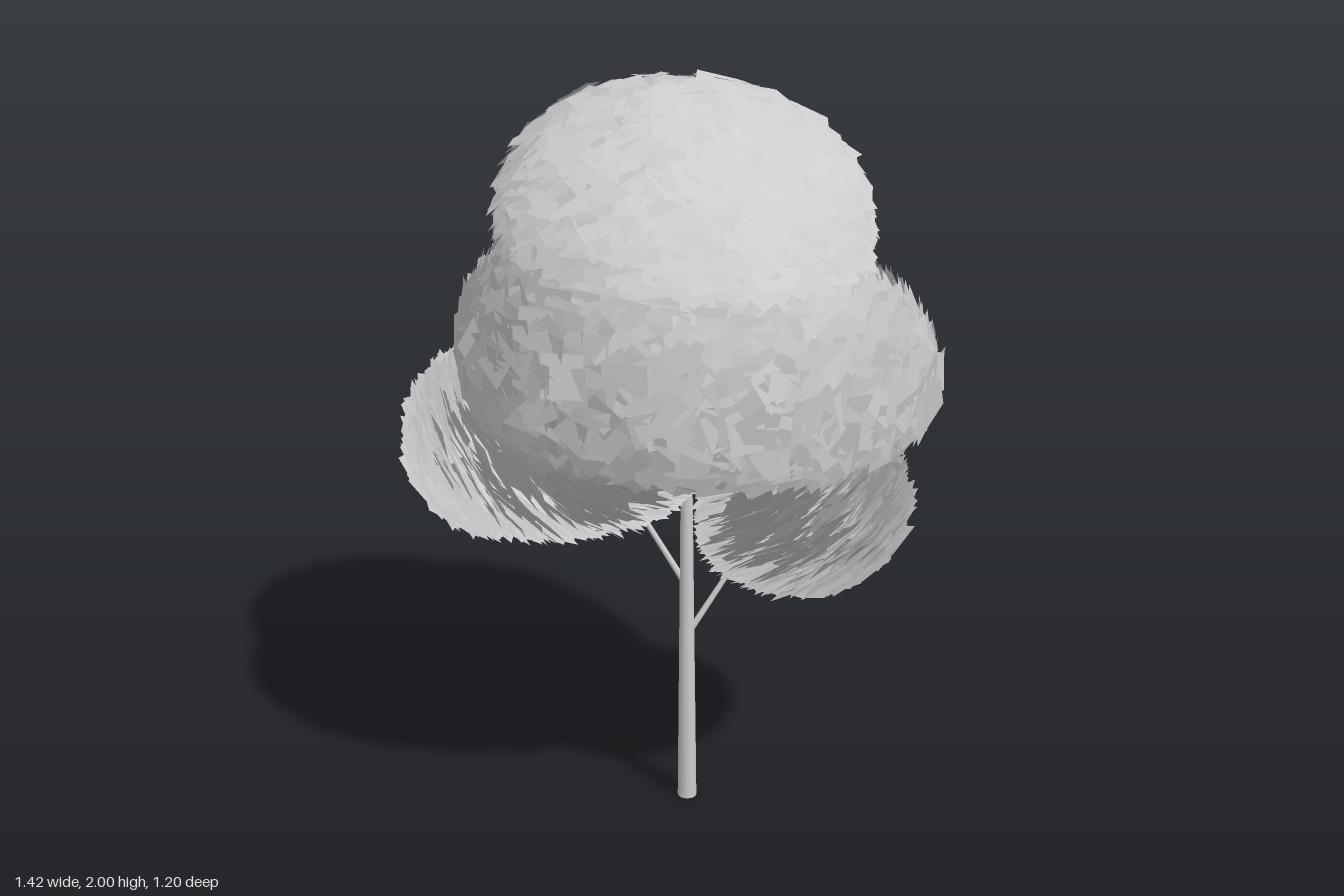
import * as THREE from 'three';

// Small seeded generator for leaf jitter
function seeded(seed) {
  return () => {
    seed = (seed * 1664525 + 1013904223) % 4294967296;
    return seed / 4294967296;
  };
}

// Every leaf card faces away from the heart of the crown
const HEART = new THREE.Vector3(0, 1.33, 0);

// Rounded clumps: c centre, rx [towards -x, towards +x], n squareness in height,
// m squareness of the +x half in plan, tilt rise along x and z
const CLUMPS = [
  { name: 'crownTop', c: [0, 1.65, 0], rx: [0.45, 0.47], ry: 0.33, rz: 0.39, n: 2.2, m: 2, tilt: [0, 0], count: 1500 },
  { name: 'crownMiddle', c: [-0.05, 1.335, 0], rx: [0.47, 0.73], ry: 0.26, rz: 0.575, n: 2.5, m: 1.7, tilt: [-0.05, 0], count: 2300 },
  { name: 'lowerRightFoliage', c: [-0.38, 1.03, 0.095], rx: [0.305, 0.46], ry: 0.225, rz: 0.345, n: 2.4, m: 2, tilt: [0.06, 0], count: 1500 },
  { name: 'lowerLeftFoliage', c: [0.305, 0.855, -0.15], rx: [0.225, 0.225], ry: 0.175, rz: 0.285, n: 2.4, m: 2, tilt: [0, 0.08], count: 900 },
];

// Shell of overlapping square leaf cards
function foliage({ name, c, rx, ry, rz, n, m, tilt, count }, seed, material) {
  const rnd = seeded(seed);
  const positions = [], index = [];
  const centre = new THREE.Vector3(...c);
  const p = new THREE.Vector3(), facing = new THREE.Vector3(), v = new THREE.Vector3();
  const align = new THREE.Quaternion(), spin = new THREE.Quaternion();
  const zAxis = new THREE.Vector3(0, 0, 1);
  for (let i = 0; i < count; i++) {
    // Even spiral of directions, pushed out to the clump's rounded shape
    const dy = 1 - 2 * (i + 0.5) / count;
    const h = Math.sqrt(1 - dy * dy);
    const cos = Math.cos(i * 2.399963), sin = Math.sin(i * 2.399963);
    const plan = cos > 0 ? Math.pow(Math.pow(cos, m) + Math.pow(Math.abs(sin), m), -1 / m) : 1;
    const k = Math.pow(Math.pow(h, n) + Math.pow(Math.abs(dy), n), -1 / n) * (0.98 + rnd() * 0.04);
    p.set(h * cos * plan * k * (cos < 0 ? rx[0] : rx[1]), dy * k * ry, h * sin * plan * k * rz);
    p.y += p.x * tilt[0] + p.z * tilt[1];
    // Face away from the heart with a little jitter, then spin the card
    facing.copy(p).add(centre).sub(HEART).normalize();
    facing.x += (rnd() - 0.5) * 0.3;
    facing.y += (rnd() - 0.5) * 0.3;
    facing.z += (rnd() - 0.5) * 0.3;
    align.setFromUnitVectors(zAxis, facing.normalize());
    align.multiply(spin.setFromAxisAngle(zAxis, rnd() * Math.PI * 2));
    const s = 0.042 + rnd() * 0.012;
    for (const [x, y] of [[-s, -s], [s, -s], [s, s], [-s, s]]) {
      v.set(x, y, 0).applyQuaternion(align).add(p);
      positions.push(v.x, v.y, v.z);
    }
    const b = i * 4;
    index.push(b, b + 1, b + 2, b, b + 2, b + 3);
  }
  const geo = new THREE.BufferGeometry();
  geo.setAttribute('position', new THREE.Float32BufferAttribute(positions, 3));
  geo.setIndex(index);
  geo.computeVertexNormals();
  const mesh = new THREE.Mesh(geo, material);
  mesh.name = name;
  mesh.position.copy(centre);
  return mesh;
}

// Tapered round limb between two points
function limb(name, from, to, r0, r1, material) {
  const a = new THREE.Vector3(...from), b = new THREE.Vector3(...to);
  const dir = b.clone().sub(a);
  const mesh = new THREE.Mesh(new THREE.CylinderGeometry(r1, r0, dir.length(), 12), material);
  mesh.name = name;
  mesh.position.copy(a).add(b).multiplyScalar(0.5);
  mesh.quaternion.setFromUnitVectors(new THREE.Vector3(0, 1, 0), dir.normalize());
  return mesh;
}

export function createModel() {
  const tree = new THREE.Group();
  tree.name = 'tree';
  const bark = new THREE.MeshStandardMaterial({ color: 0xcccccc });
  const leaf = new THREE.MeshStandardMaterial({ color: 0xcccccc, side: THREE.DoubleSide });

  // Trunk and branches
  tree.add(
    limb('trunk', [0.037, 0, 0.01], [0.03, 0.9, 0.005], 0.026, 0.016, bark),
    limb('upperTrunk', [0.03, 0.9, 0.005], [0.01, 1.5, 0], 0.016, 0.008, bark),
    limb('leftBranch', [0.037, 0.5, 0.005], [0.12, 0.68, -0.085], 0.009, 0.007, bark),
    limb('leftBranchTip', [0.12, 0.68, -0.085], [0.28, 0.88, -0.15], 0.007, 0.005, bark),
    limb('rightBranch', [0.03, 0.64, 0.005], [-0.1, 0.85, 0.04], 0.009, 0.007, bark),
    limb('rightBranchTip', [-0.1, 0.85, 0.04], [-0.35, 1.03, 0.1], 0.007, 0.005, bark),
  );

  // Leaf clumps
  CLUMPS.forEach((clump, i) => tree.add(foliage(clump, 17 + i * 101, leaf)));
  return tree;
}
